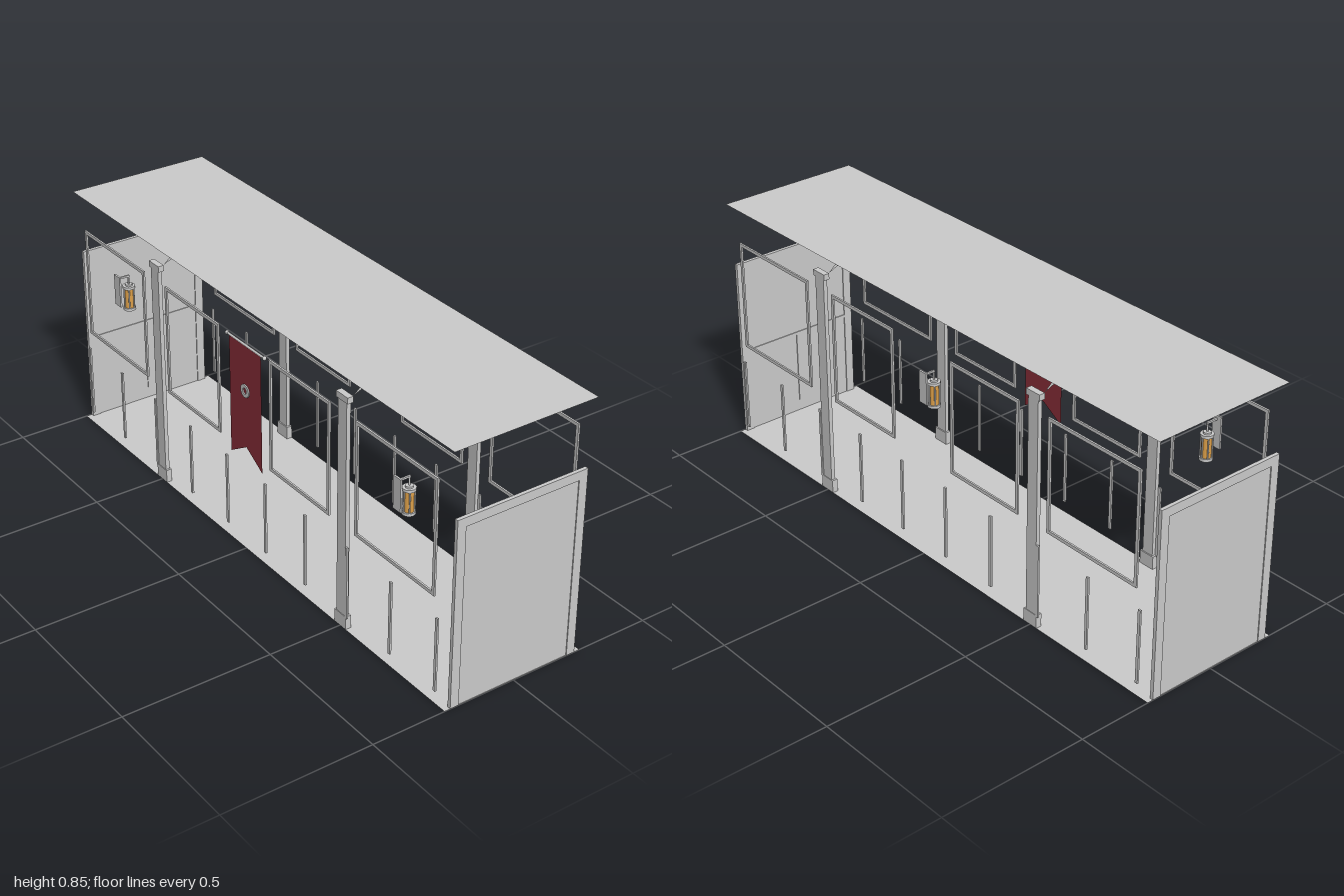
import * as THREE from 'three';

const mat = (name, color, side = THREE.FrontSide) => {
  const m = new THREE.MeshStandardMaterial({ color, side });
  m.name = name;
  return m;
};

export function createModel() {
  const root = new THREE.Group();
  root.name = 'corridor';
  const grey = mat('paleGrey', 0xcccccc);
  const sheet = mat('paleGreySheet', 0xcccccc, THREE.DoubleSide);
  const red = mat('bannerRed', 0x8b2f39, THREE.DoubleSide);
  const amber = mat('amberGlass', 0xe0a24a);

  const add = (parent, name, geo, material, x = 0, y = 0, z = 0) => {
    const m = new THREE.Mesh(geo, material);
    m.name = name;
    m.position.set(x, y, z);
    parent.add(m);
    return m;
  };
  // box given by its minimum and maximum corners
  const box = (parent, name, x0, x1, y0, y1, z0, z1, material = grey) =>
    add(parent, name, new THREE.BoxGeometry(Math.abs(x1 - x0), y1 - y0, Math.abs(z1 - z0)), material,
      (x0 + x1) / 2, (y0 + y1) / 2, (z0 + z1) / 2);
  const group = (name, parent = root) => {
    const g = new THREE.Group();
    g.name = name;
    parent.add(g);
    return g;
  };

  // floor and ceiling sheets
  for (const [name, y] of [['floor', 0], ['ceiling', 0.85]]) {
    add(root, name, new THREE.PlaneGeometry(0.5, 2).rotateX(-Math.PI / 2), sheet, 0, y, 0);
  }

  // end doors: frame, recessed panel, inner rail and slat
  for (const s of [1, -1]) {
    const door = group(s > 0 ? 'frontDoor' : 'backDoor');
    for (const k of [1, -1]) box(door, 'doorJamb', k * 0.2, k * 0.23, 0, 0.63, s * 0.988, s);
    box(door, 'doorLintel', -0.2, 0.2, 0.6, 0.63, s * 0.988, s);
    box(door, 'doorPanel', -0.2, 0.2, 0, 0.6, s * 0.991, s * 0.997);
    box(door, 'doorRail', -0.2, 0.2, 0.295, 0.305, s * 0.988, s * 0.991);
    box(door, 'doorSlat', -0.005, 0.005, 0.04, 0.295, s * 0.988, s * 0.991);
  }

  // side walls: window frames and low slats
  const windows = [[0.565, 0.935], [0.135, 0.44], [-0.44, -0.135], [-0.935, -0.565]];
  for (const s of [1, -1]) {
    const wall = group(s > 0 ? 'leftWall' : 'rightWall');
    const a = s * 0.244, b = s * 0.25, t = 0.011;
    for (const [z0, z1] of windows) {
      const frame = group('windowFrame', wall);
      box(frame, 'windowSill', a, b, 0.355, 0.355 + t, z0, z1);
      box(frame, 'windowHead', a, b, 0.735 - t, 0.735, z0, z1);
      box(frame, 'windowSide', a, b, 0.355 + t, 0.735 - t, z0, z0 + t);
      box(frame, 'windowSide', a, b, 0.355 + t, 0.735 - t, z1 - t, z1);
    }
    for (let i = 0; i < 10; i++) {
      const z = -0.95 + i * 0.211;
      box(wall, 'wallSlat', a, b, 0.04, 0.29, z - 0.005, z + 0.005);
    }
  }

  // columns with base and cap, joined by an arched ceiling rib
  const inner = [[0.23, 0.79], [0.134, 0.828], [-0.134, 0.828], [-0.23, 0.79]];
  const ribShape = new THREE.Shape([...inner, [-0.16, 0.85], [0.16, 0.85]].map(p => new THREE.Vector2(...p)));
  const w = 0.026;
  const under = [];
  for (let i = 0; i < 3; i++) {
    const [p, q] = [inner[i], inner[i + 1]];
    under.push(...p, -w, ...p, w, ...q, w, ...p, -w, ...q, w, ...q, -w);
  }
  const underGeo = new THREE.BufferGeometry();
  underGeo.setAttribute('position', new THREE.Float32BufferAttribute(under, 3));
  underGeo.computeVertexNormals();
  for (const z of [0.5, -0.5]) {
    const arch = group('archway');
    for (const s of [1, -1]) {
      box(arch, 'columnShaft', s * 0.234, s * 0.248, 0.045, 0.77, z - 0.021, z + 0.021);
      box(arch, 'columnBase', s * 0.23, s * 0.25, 0, 0.045, z - 0.028, z + 0.028);
      box(arch, 'columnCap', s * 0.23, s * 0.25, 0.77, 0.79, z - 0.028, z + 0.028);
    }
    add(arch, 'ribFront', new THREE.ShapeGeometry(ribShape), grey, 0, 0, z + w);
    // mirror-symmetric shape, so a half turn gives the back face
    add(arch, 'ribBack', new THREE.ShapeGeometry(ribShape).rotateY(Math.PI), grey, 0, 0, z - w);
    add(arch, 'ribUnderside', underGeo, grey, 0, 0, z);
  }

  // swallow-tailed banner on the right wall
  const banner = group('banner');
  const cloth = new THREE.Shape([[-0.085, 0.72], [-0.085, 0.315], [0, 0.367], [0.085, 0.315], [0.085, 0.72]]
    .map(p => new THREE.Vector2(...p)));
  add(banner, 'bannerCloth', new THREE.ShapeGeometry(cloth).rotateY(Math.PI / 2), red, -0.243);
  add(banner, 'bannerRod', new THREE.CylinderGeometry(0.004, 0.004, 0.2, 8).rotateX(Math.PI / 2), grey, -0.24, 0.72, 0);
  for (const s of [1, -1]) add(banner, 'rodKnob', new THREE.SphereGeometry(0.007, 8, 6), grey, -0.24, 0.72, s * 0.1);

  // toothed wheel emblem with a hub that passes through the cloth
  const ring = new THREE.Shape();
  const teeth = 12;
  for (let i = 0; i < teeth * 4; i++) {
    const a = (i / (teeth * 4)) * Math.PI * 2;
    const r = i % 4 < 2 ? 0.053 : 0.044;
    ring[i ? 'lineTo' : 'moveTo'](r * Math.cos(a), r * Math.sin(a));
  }
  const hole = r => new THREE.Path().absarc(0, 0, r, 0, Math.PI * 2, true);
  ring.holes.push(hole(0.033));
  const hub = new THREE.Shape().absarc(0, 0, 0.022, 0, Math.PI * 2, false);
  hub.holes.push(hole(0.01));
  const plate = (shape, depth) => new THREE.ExtrudeGeometry(shape, { depth, bevelEnabled: false, curveSegments: 10 })
    .rotateY(Math.PI / 2);
  add(banner, 'wheelRing', plate(ring, 0.005), grey, -0.2425, 0.565, 0);
  add(banner, 'wheelHub', plate(hub, 0.013), grey, -0.247, 0.565, 0);
  for (let i = 0; i < 6; i++) {
    const spoke = add(banner, 'wheelSpoke', new THREE.BoxGeometry(0.004, 0.014, 0.006).translate(0, 0.027, 0),
      grey, -0.24, 0.565, 0);
    spoke.rotation.x = i * Math.PI / 3;
  }

  // wall lanterns hanging from bracket arms
  for (const [s, z] of [[-1, 0.75], [-1, -0.75], [1, 0]]) {
    const lamp = group('lantern');
    const x = s * 0.2;
    const drum = (name, r, y0, y1, m = grey, dx = 0, dz = 0) =>
      add(lamp, name, new THREE.CylinderGeometry(r, r, y1 - y0, 12), m, x + dx, (y0 + y1) / 2, z + dz);
    box(lamp, 'backPlate', s * 0.237, s * 0.243, 0.535, 0.642, z - 0.017, z + 0.017);
    box(lamp, 'bracketArm', s * 0.197, s * 0.237, 0.628, 0.634, z - 0.003, z + 0.003);
    drum('hangingRod', 0.003, 0.6, 0.629);
    drum('lanternCap', 0.021, 0.588, 0.597);
    drum('lanternNeck', 0.012, 0.597, 0.603);
    drum('lanternGlass', 0.016, 0.52, 0.588, amber);
    drum('lanternBase', 0.021, 0.511, 0.52);
    for (let i = 0; i < 6; i++) {
      const a = i * Math.PI / 3;
      drum('lanternBar', 0.0025, 0.52, 0.588, grey, 0.018 * Math.cos(a), 0.018 * Math.sin(a));
    }
  }
  return root;
}
